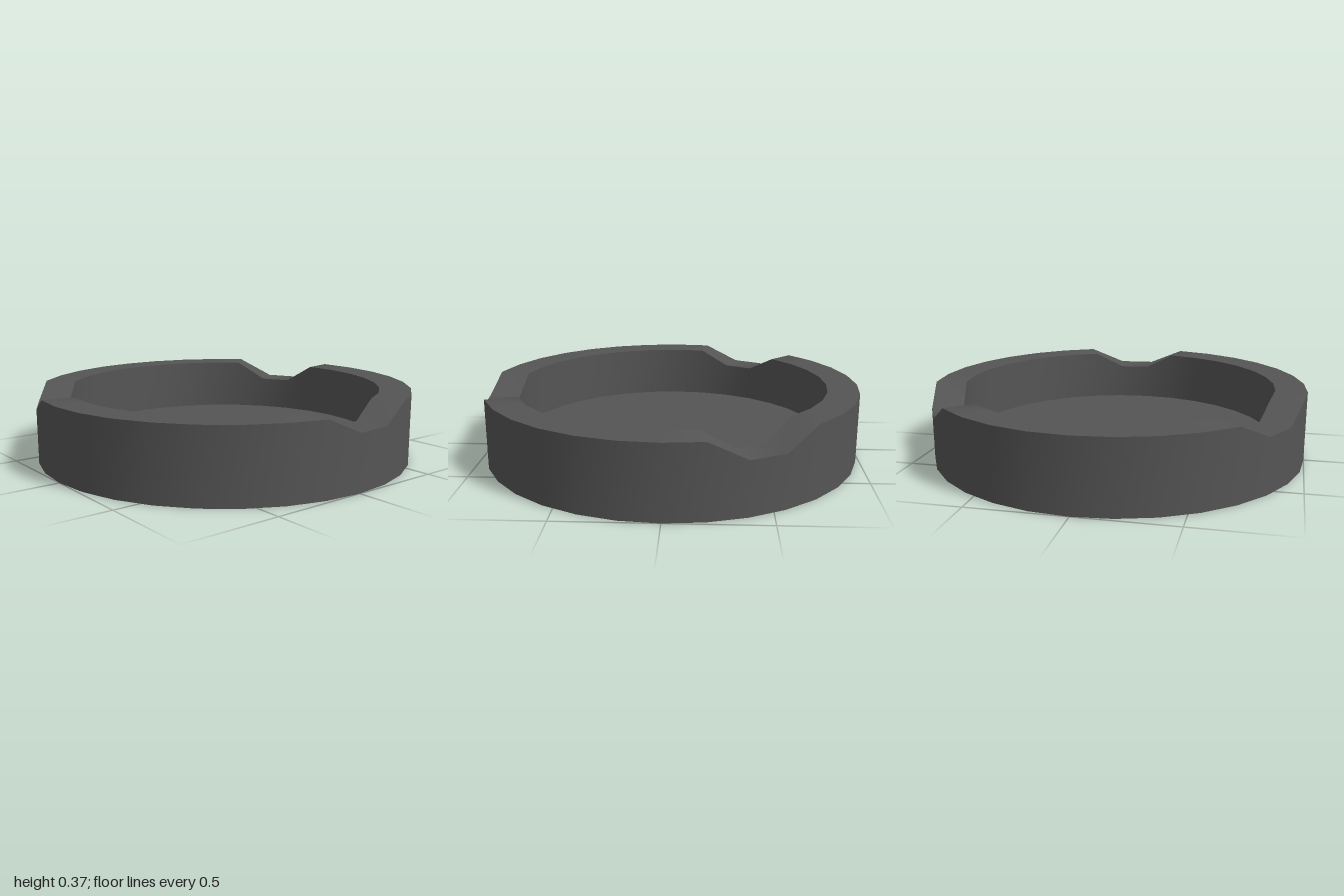
import * as THREE from 'three';

const SIDES = 32;
const OUTER = 1, INNER = 0.835, HEIGHT = 0.37, FLOOR = 0.09;

// Rim height at each corner, counted from the front towards +x;
// each notch has two lowered corners
const rim = Array(SIDES).fill(HEIGHT);
for (const [first, low] of [[0, 0.285], [10, 0.27], [21, 0.285]]) {
  rim[first] = rim[first + 1] = low;
}

const material = new THREE.MeshStandardMaterial({ color: 0x555555 });

function addMesh(group, name, geometry) {
  const mesh = new THREE.Mesh(geometry, material);
  mesh.name = name;
  group.add(mesh);
  return mesh;
}

// Closed smooth strip between two rings, each given by radius and height per corner
function band(radiusA, heightA, radiusB, heightB) {
  const positions = [], index = [];
  for (let i = 0; i < SIDES; i++) {
    const angle = (i / SIDES) * Math.PI * 2;
    const x = Math.sin(angle), z = Math.cos(angle);
    positions.push(x * radiusA, heightA(i), z * radiusA, x * radiusB, heightB(i), z * radiusB);
    const a = 2 * i, b = 2 * ((i + 1) % SIDES);
    index.push(a, b, b + 1, a, b + 1, a + 1);
  }
  const geometry = new THREE.BufferGeometry();
  geometry.setAttribute('position', new THREE.Float32BufferAttribute(positions, 3));
  geometry.setIndex(index);
  geometry.computeVertexNormals();
  return geometry;
}

export function createModel() {
  const group = new THREE.Group();
  group.name = 'ashtray';
  const top = (i) => rim[i];

  // Walls and notched rim
  addMesh(group, 'outerWall', band(OUTER, () => 0, OUTER, top));
  addMesh(group, 'notchedRim', band(OUTER, top, INNER, top));
  addMesh(group, 'innerWall', band(INNER, top, INNER, () => FLOOR));

  // Dish floor and underside
  const floor = addMesh(group, 'dishFloor', new THREE.CircleGeometry(INNER, SIDES));
  floor.rotation.x = -Math.PI / 2;
  floor.position.y = FLOOR;
  const base = addMesh(group, 'underside', new THREE.CircleGeometry(OUTER, SIDES));
  base.rotation.x = Math.PI / 2;

  return group;
}
